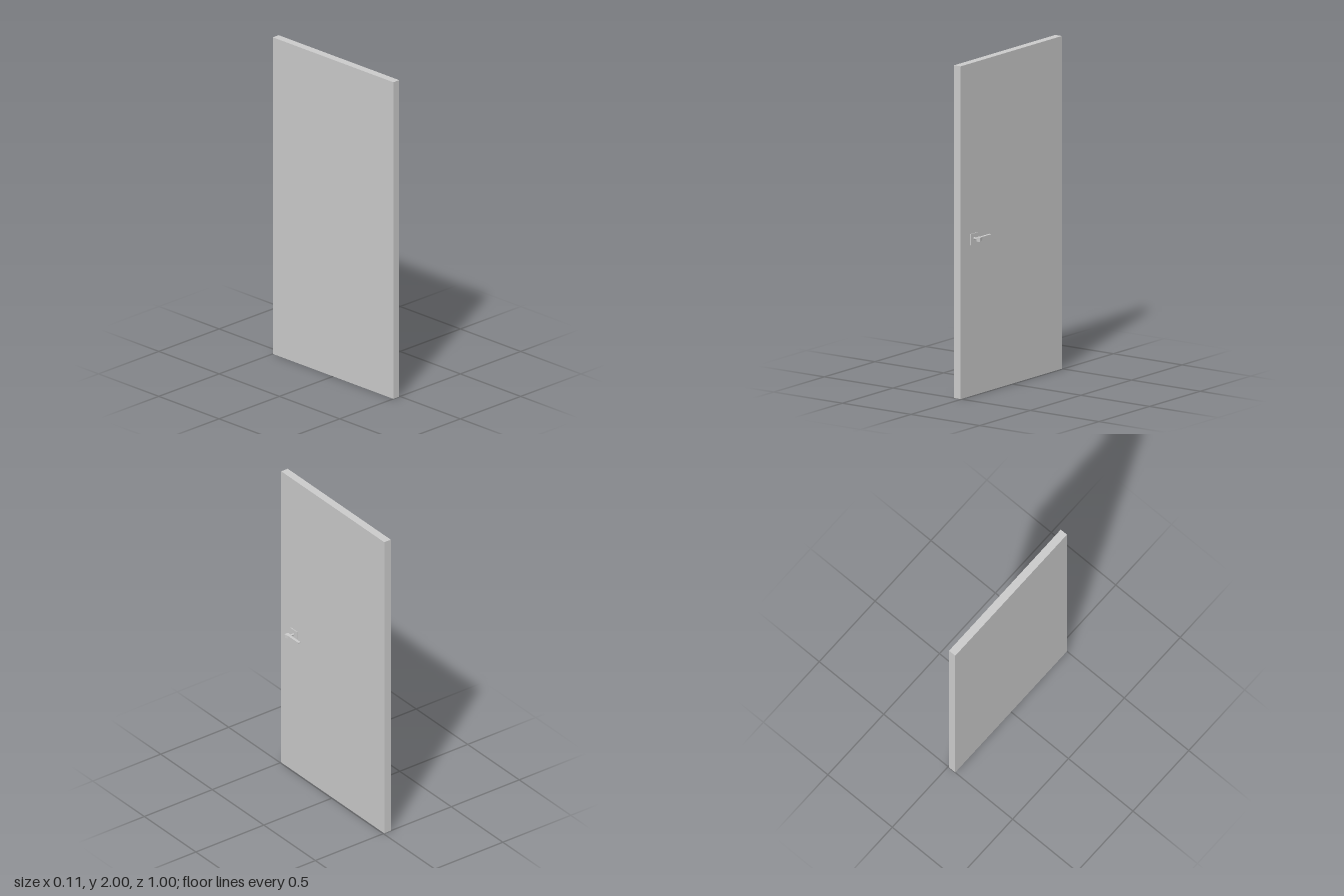
import * as THREE from 'three';

const material = new THREE.MeshStandardMaterial({ color: 0xcccccc });
const flat = new THREE.MeshStandardMaterial({ color: 0xcccccc, flatShading: true });

function add(group, name, geometry, mat, x = 0, y = 0, z = 0) {
  const mesh = new THREE.Mesh(geometry, mat);
  mesh.name = name;
  mesh.position.set(x, y, z);
  group.add(mesh);
  return mesh;
}

// Lever grip: a box whose rings along z follow a list of sections
function leverGeometry() {
  // z, x min, x max, y min, y max (tip to butt)
  const sections = [
    [0.264, 0.031, 0.048, 0.948, 0.956],
    [0.272, 0.031, 0.048, 0.945, 0.957],
    [0.295, 0.031, 0.048, 0.942, 0.957],
    [0.360, 0.031, 0.048, 0.941, 0.957],
    [0.367, 0.027, 0.049, 0.938, 0.957],
    [0.384, 0.026, 0.053, 0.932, 0.957],
    [0.390, 0.027, 0.053, 0.931, 0.957],
  ];
  const n = sections.length - 1;
  const geometry = new THREE.BoxGeometry(1, 1, 1, 1, 1, n);
  const p = geometry.attributes.position;
  for (let i = 0; i < p.count; i++) {
    const [z, x0, x1, y0, y1] = sections[Math.round((p.getZ(i) + 0.5) * n)];
    p.setXYZ(i, p.getX(i) < 0 ? x0 : x1, p.getY(i) < 0 ? y0 : y1, z);
  }
  geometry.computeVertexNormals();
  return geometry;
}

export function createModel() {
  const model = new THREE.Group();
  model.name = 'door';

  // Plain door slab
  add(model, 'doorPanel', new THREE.BoxGeometry(0.048, 2, 1), flat, -0.031, 1, 0);

  // Handle on the +x face
  const handle = new THREE.Group();
  handle.name = 'handle';
  model.add(handle);
  add(handle, 'backPlate', new THREE.BoxGeometry(0.006, 0.066, 0.066), flat, -0.005, 0.941, 0.373);
  const stem = add(handle, 'stem', new THREE.CylinderGeometry(0.0065, 0.0065, 0.034, 20), material, 0.012, 0.944, 0.373);
  stem.rotation.z = Math.PI / 2;
  add(handle, 'lever', leverGeometry(), flat);

  return model;
}
